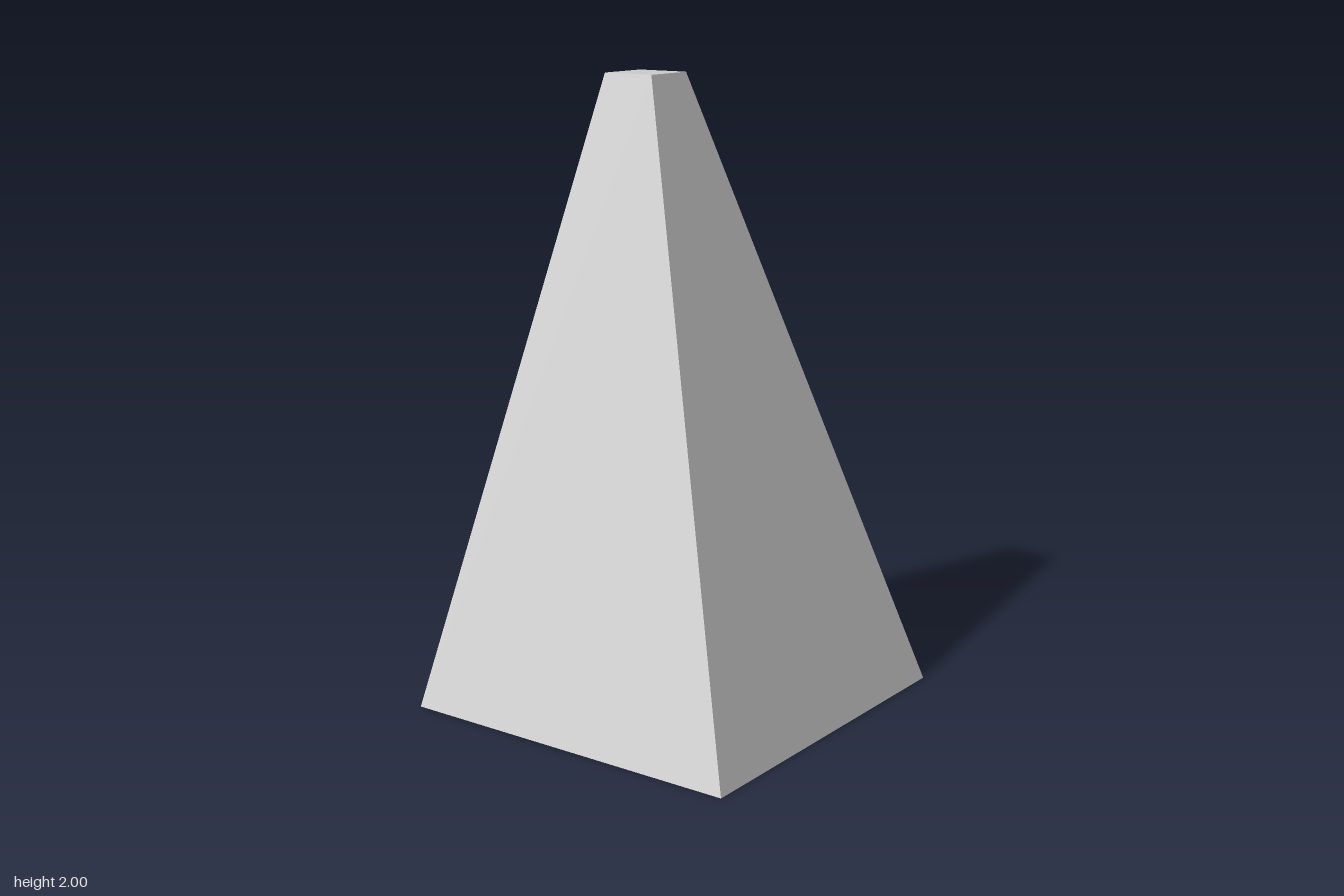
import * as THREE from 'three';
import { toCreasedNormals } from 'three/addons/utils/BufferGeometryUtils.js';

// L-shaped foot tapering into a small square top
function taperedLeg() {
  const foot = [[-0.6, 0.6], [0.6, 0.6], [0.6, 0.15], [-0.15, 0.15], [-0.15, -0.6], [-0.6, -0.6]]
    .map(([x, z]) => [x, 0, z]);
  // the three inner corners of the L meet in one corner of the top
  const top = [[0.4, -0.4], [0.6, -0.4], [0.6, -0.6], [0.6, -0.6], [0.6, -0.6], [0.4, -0.6]]
    .map(([x, z]) => [x, 2, z]);
  const pos = [];
  const tri = (...corners) => corners.forEach((c) => pos.push(...c));

  // sides
  for (let i = 0; i < 6; i++) {
    const j = (i + 1) % 6;
    const meets = top[i][0] === top[j][0] && top[i][2] === top[j][2];
    tri(foot[i], foot[j], top[j]);
    if (!meets) tri(foot[i], top[j], top[i]);
  }
  // underside, fanned from the outer corner
  for (let i = 1; i < 5; i++) tri(foot[0], foot[i + 1], foot[i]);
  // square top
  tri(top[0], top[1], top[2]);
  tri(top[0], top[2], top[5]);

  const geometry = new THREE.BufferGeometry();
  geometry.setAttribute('position', new THREE.Float32BufferAttribute(pos, 3));
  return toCreasedNormals(geometry, Math.PI / 6);
}

export function createModel() {
  const group = new THREE.Group();
  group.name = 'cornerLeg';
  const leg = new THREE.Mesh(taperedLeg(), new THREE.MeshStandardMaterial({ color: 0xcccccc }));
  leg.name = 'taperedLeg';
  group.add(leg);
  return group;
}
